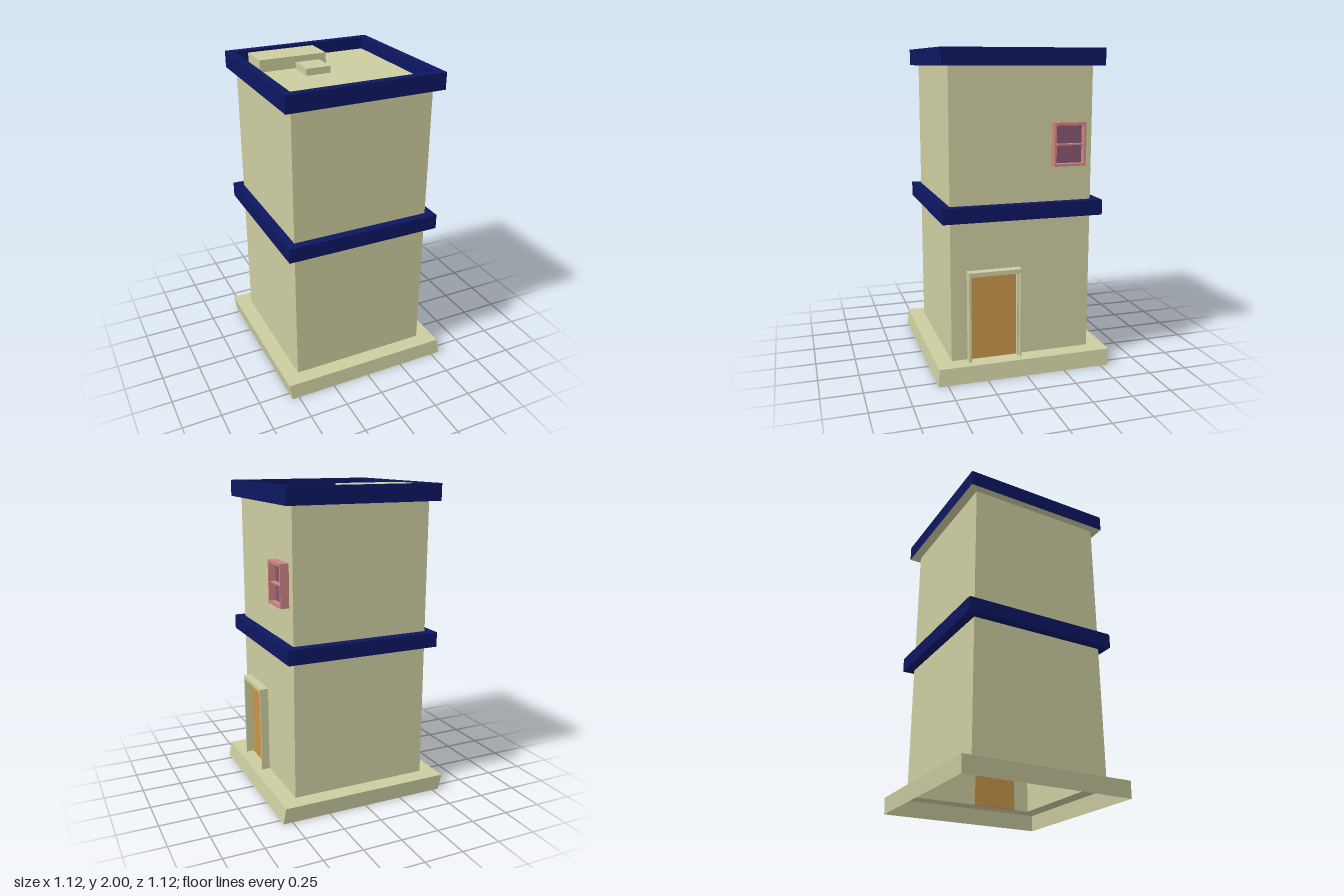
import * as THREE from 'three';

const paint = (color) => new THREE.MeshStandardMaterial({ color, flatShading: true, side: THREE.DoubleSide });

// Open shell through a list of rectangular rings [x0, x1, z0, z1, y]
function loft(rings) {
  const pos = [];
  const corners = ([x0, x1, z0, z1, y]) => [[x0, y, z1], [x1, y, z1], [x1, y, z0], [x0, y, z0]];
  for (let r = 0; r < rings.length - 1; r++) {
    const a = corners(rings[r]), b = corners(rings[r + 1]);
    for (let i = 0; i < 4; i++) {
      const j = (i + 1) % 4;
      pos.push(...a[i], ...a[j], ...b[j], ...a[i], ...b[j], ...b[i]);
    }
  }
  const g = new THREE.BufferGeometry();
  g.setAttribute('position', new THREE.Float32BufferAttribute(pos, 3));
  g.computeVertexNormals();
  return g;
}

// Box given by its extents
function block(x0, x1, y0, y1, z0, z1) {
  return new THREE.BoxGeometry(x1 - x0, y1 - y0, z1 - z0)
    .translate((x0 + x1) / 2, (y0 + y1) / 2, (z0 + z1) / 2);
}

export function createModel() {
  const model = new THREE.Group();
  const stone = paint(0xcccca0), navy = paint(0x0d1660), pink = paint(0xcc8380);
  const wood = paint(0xc8954a), glass = paint(0x85546f);
  const add = (name, geometry, material, parent = model) => {
    const mesh = new THREE.Mesh(geometry, material);
    mesh.name = name;
    parent.add(mesh);
  };
  const group = (name) => {
    const g = new THREE.Group();
    g.name = name;
    model.add(g);
    return g;
  };

  // Hollow, slightly leaning plinth, open underneath
  const wall = [-0.46, 0.44, -0.45, 0.45];
  add('plinth', loft([
    [-0.545, 0.56, -0.55, 0.56, 0],
    [-0.56, 0.545, -0.56, 0.55, 0.103],
    [...wall, 0.103],
  ]), stone);
  add('walls', loft([[...wall, 0.103], [...wall, 1.92]]), stone);

  // Band between the floors
  const band = [-0.515, 0.495, -0.51, 0.505];
  add('floorBand', loft([[...wall, 0.98], [...band, 0.98], [...band, 1.075], [...wall, 1.075]]), navy);

  // Parapet around the sunken roof, with a stone soffit
  const rim = [-0.51, 0.495, -0.51, 0.5], inner = [-0.46, 0.445, -0.46, 0.45];
  add('parapet', loft([[...rim, 1.895], [...rim, 2], [...inner, 2], [...inner, 1.92]]), navy);
  add('soffit', loft([[...wall, 1.895], [...rim, 1.895]]), stone);
  add('roof', block(-0.46, 0.445, 1.91, 1.922, -0.46, 0.45), stone);
  add('largeRoofBox', block(-0.39, 0.055, 1.92, 1.998, -0.41, -0.205), stone);
  add('smallRoofBox', block(-0.16, 0, 1.92, 1.965, -0.185, -0.02), stone);

  // Door with a stepped frame on the +x wall
  const door = group('door');
  add('doorLeaf', block(0.43, 0.445, 0.103, 0.637, 0.033, 0.337), wood, door);
  add('frontJamb', block(0.44, 0.495, 0.103, 0.672, 0.335, 0.35), stone, door);
  add('backJamb', block(0.44, 0.495, 0.103, 0.672, 0.013, 0.024), stone, door);
  add('lintel', block(0.44, 0.495, 0.648, 0.672, 0.024, 0.335), stone, door);
  add('innerJamb', block(0.44, 0.468, 0.103, 0.648, 0.024, 0.035), stone, door);
  add('innerLintel', block(0.44, 0.468, 0.636, 0.648, 0.035, 0.335), stone, door);

  // Two-pane window on the +x wall
  const win = group('window');
  add('windowPane', block(0.43, 0.452, 1.305, 1.545, -0.385, -0.195), glass, win);
  add('windowSill', block(0.44, 0.495, 1.295, 1.31, -0.392, -0.19), pink, win);
  add('windowHead', block(0.44, 0.495, 1.542, 1.56, -0.392, -0.19), pink, win);
  add('windowDivider', block(0.44, 0.485, 1.421, 1.43, -0.383, -0.202), pink, win);
  for (const [name, z] of [['frontStile', -0.202], ['backStile', -0.392]])
    add(name, block(0.44, 0.495, 1.31, 1.542, z, z + 0.012), pink, win);

  return model;
}
